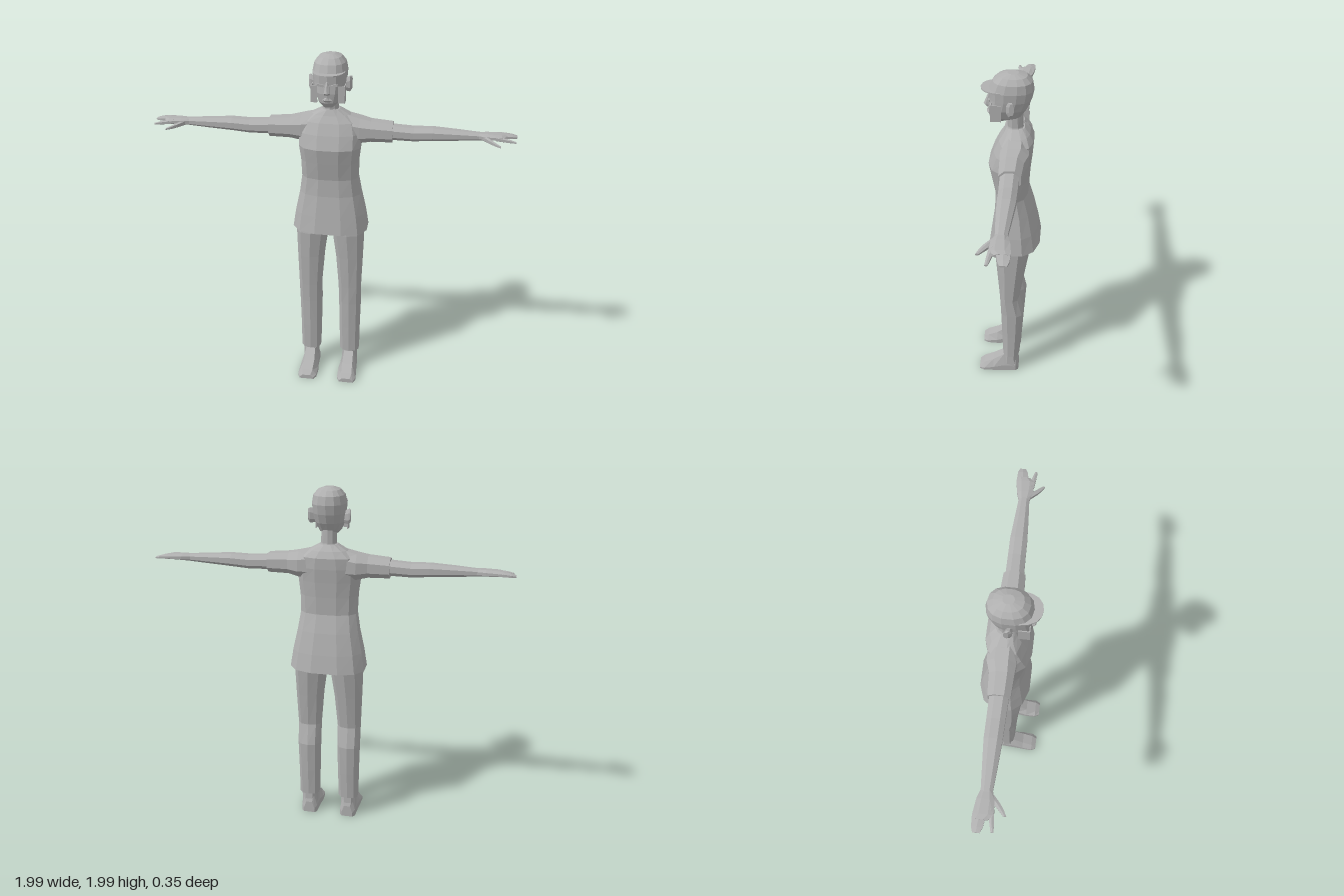
import * as THREE from 'three';

const grey = new THREE.MeshStandardMaterial({ color: 0xb0b0b0, flatShading: true, side: THREE.DoubleSide });
grey.name = 'plain grey';

// Skins a list of equal-length rings of [x, y, z] points; caps are optional
function loft(name, rings, capStart = true, capEnd = true) {
  const n = rings[0].length, pos = rings.flat(2), idx = [];
  for (let r = 0; r < rings.length - 1; r++) {
    for (let i = 0; i < n; i++) {
      const a = r * n + i, b = r * n + (i + 1) % n;
      idx.push(a, b, a + n, b, b + n, a + n);
    }
  }
  const cap = (start, flip) => {
    for (let i = 1; i < n - 1; i++) {
      idx.push(start, start + (flip ? i + 1 : i), start + (flip ? i : i + 1));
    }
  };
  if (capStart) cap(0, true);
  if (capEnd) cap((rings.length - 1) * n, false);

  // Turn the faces outward: measure signed volume about the middle
  const c = [0, 1, 2].map(k => pos.reduce((s, v, i) => s + (i % 3 === k ? v : 0), 0) * 3 / pos.length);
  const P = i => new THREE.Vector3(pos[3 * i] - c[0], pos[3 * i + 1] - c[1], pos[3 * i + 2] - c[2]);
  let vol = 0;
  for (let t = 0; t < idx.length; t += 3) vol += P(idx[t]).dot(P(idx[t + 1]).cross(P(idx[t + 2])));
  if (vol < 0) idx.reverse();

  const g = new THREE.BufferGeometry();
  g.setAttribute('position', new THREE.Float32BufferAttribute(pos, 3));
  g.setIndex(idx);
  const flat = g.toNonIndexed();
  flat.computeVertexNormals();
  const mesh = new THREE.Mesh(flat, grey);
  mesh.name = name;
  return mesh;
}

// Rounded-box outline: n points of [u, v] with unit radii
function outline(n, power) {
  return Array.from({ length: n }, (_, i) => {
    const a = (i + 0.5) / n * Math.PI * 2;
    const p = v => Math.sign(v) * Math.abs(v) ** power;
    return [p(Math.cos(a)), p(Math.sin(a))];
  });
}

// Upright rings from [y, xMin, xMax, zBack, zFront]
const upright = (rows, n = 12, power = 0.8) => rows.map(([y, x0, x1, z0, z1]) =>
  outline(n, power).map(([u, v]) => [(x0 + x1) / 2 + u * (x1 - x0) / 2, y, (z0 + z1) / 2 + v * (z1 - z0) / 2]));

// Sideways rings from [x, yMin, yMax, zBack, zFront], s is the body side
const sideways = (rows, s, n = 8, power = 0.9) => rows.map(([x, y0, y1, z0, z1]) =>
  outline(n, power).map(([u, v]) => [s * x, (y0 + y1) / 2 + v * (y1 - y0) / 2, (z0 + z1) / 2 + u * (z1 - z0) / 2]));

// Same half-width on both sides of the body
const sym = rows => rows.map(([y, w, z0, z1]) => [y, -w, w, z0, z1]);

function plate(name, w, h, d, x, y, z) {
  const m = new THREE.Mesh(new THREE.BoxGeometry(w, h, d), grey);
  m.name = name;
  m.position.set(x, y, z);
  return m;
}

function makeHead() {
  const head = new THREE.Group();
  head.name = 'head';
  head.add(loft('skull', upright(sym([
    [1.722, 0.028, 0.02, 0.088], [1.75, 0.058, -0.062, 0.108], [1.80, 0.08, -0.095, 0.112],
    [1.85, 0.088, -0.115, 0.106], [1.90, 0.092, -0.125, 0.108], [1.945, 0.083, -0.117, 0.088],
    [1.972, 0.06, -0.09, 0.058], [1.985, 0.025, -0.045, 0.012],
  ]), 14, 0.85)));
  head.add(loft('neck', upright(sym([
    [1.64, 0.06, -0.09, 0.02], [1.69, 0.042, -0.072, 0.012], [1.79, 0.04, -0.07, 0.02],
  ]), 10, 0.9)));

  // Nose and lips
  head.add(loft('nose', upright(sym([
    [1.797, 0.016, 0.095, 0.122], [1.808, 0.018, 0.095, 0.135], [1.865, 0.007, 0.09, 0.112],
  ]), 6, 1)));
  head.add(loft('lips', upright(sym([
    [1.757, 0.014, 0.09, 0.113], [1.768, 0.028, 0.085, 0.12], [1.78, 0.012, 0.09, 0.118],
  ]), 8, 1)));

  // Thin curved fringe above the brow
  const shape = new THREE.Shape();
  shape.moveTo(-0.088, -0.04);
  shape.quadraticCurveTo(-0.08, -0.145, 0, -0.148);
  shape.quadraticCurveTo(0.08, -0.145, 0.088, -0.04);
  const fringe = new THREE.Mesh(new THREE.ExtrudeGeometry(shape, { depth: 0.006, bevelEnabled: false, curveSegments: 4 }), grey);
  fringe.name = 'fringe';
  fringe.rotation.x = -Math.PI / 2;
  fringe.position.y = 1.9;
  head.add(fringe);

  for (const s of [1, -1]) {
    head.add(loft('ear', sideways([
      [0.08, 1.79, 1.86, -0.02, 0.012], [0.105, 1.785, 1.872, -0.03, 0.012], [0.115, 1.80, 1.868, -0.03, -0.005],
    ], s)));
    // Side lock beside the cheek
    head.add(plate('sideLock', 0.005, 0.09, 0.055, s * 0.087, 1.795, 0.065));
    head.add(plate('cheekLock', 0.034, 0.09, 0.005, s * 0.072, 1.795, 0.092));
    const eye = plate('eye', 0.034, 0.012, 0.008, s * 0.037, 1.845, 0.104);
    eye.rotation.z = s * 0.2;
    head.add(eye);
  }
  return head;
}

function makeArm(s) {
  const arm = new THREE.Group();
  arm.name = s > 0 ? 'leftArm' : 'rightArm';
  arm.add(loft('sleeve', sideways([
    [0.07, 1.49, 1.667, -0.115, 0.045], [0.16, 1.495, 1.645, -0.115, 0.045],
    [0.22, 1.508, 1.632, -0.095, 0.04], [0.338, 1.51, 1.622, -0.088, 0.034],
  ], s)));
  arm.add(loft('forearm', sideways([
    [0.32, 1.525, 1.61, -0.078, 0.026], [0.45, 1.522, 1.602, -0.078, 0.022],
    [0.55, 1.53, 1.605, -0.078, 0.02], [0.68, 1.538, 1.597, -0.068, 0.012], [0.81, 1.547, 1.587, -0.058, 0.002],
  ], s)));
  arm.add(loft('palm', sideways([
    [0.79, 1.547, 1.587, -0.058, 0.002], [0.84, 1.55, 1.588, -0.075, 0.018], [0.91, 1.555, 1.585, -0.085, 0.022],
    [0.935, 1.556, 1.582, -0.085, -0.005],
  ], s)));
  arm.add(loft('fingers', sideways([
    [0.92, 1.556, 1.583, -0.085, -0.012], [0.97, 1.556, 1.576, -0.084, -0.022], [0.996, 1.558, 1.568, -0.074, -0.035],
  ], s, 6)));
  arm.add(loft('indexFinger', sideways([
    [0.88, 1.555, 1.583, -0.015, 0.02], [0.95, 1.552, 1.572, 0.002, 0.026], [0.987, 1.552, 1.562, 0.012, 0.028],
  ], s, 6)));
  arm.add(loft('thumb', sideways([
    [0.815, 1.55, 1.582, -0.03, 0.012], [0.85, 1.545, 1.572, 0.005, 0.045],
    [0.88, 1.542, 1.562, 0.035, 0.066], [0.905, 1.542, 1.553, 0.06, 0.078],
  ], s, 6)));
  return arm;
}

function makeLeg(s) {
  const leg = new THREE.Group();
  leg.name = s > 0 ? 'leftLeg' : 'rightLeg';
  const rows = [
    [0.13, 0.06, 0.18, -0.07, 0.032], [0.30, 0.056, 0.181, -0.084, 0.038], [0.48, 0.052, 0.185, -0.095, 0.044],
    [0.60, 0.05, 0.186, -0.066, 0.05], [0.80, 0.034, 0.192, -0.098, 0.066], [0.96, 0.012, 0.196, -0.125, 0.08],
    [1.08, 0.0, 0.175, -0.12, 0.07],
  ].map(([y, a, b, z0, z1]) => [y, s * a, s * b, z0, z1]);
  leg.add(loft('trouserLeg', upright(rows, 10, 0.8)));
  leg.add(loft('ankle', upright([
    [0.03, s * 0.072, s * 0.17, -0.065, 0.03], [0.15, s * 0.075, s * 0.165, -0.06, 0.025],
  ], 8, 0.8)));

  // Shoe sections run from heel to toe: [z, xInner, xOuter, top]
  const shoe = [
    [-0.066, 0.085, 0.152, 0.07], [-0.05, 0.072, 0.166, 0.12], [0.025, 0.07, 0.17, 0.122],
    [0.09, 0.063, 0.175, 0.075], [0.15, 0.065, 0.178, 0.046], [0.178, 0.08, 0.165, 0.026],
  ].map(([z, a, b, h]) => {
    const d = (b - a) * 0.22;
    return [[a, 0], [b, 0], [b, h * 0.35], [b - d, h], [a + d, h], [a, h * 0.35]].map(([x, y]) => [s * x, y, z]);
  });
  leg.add(loft('shoe', shoe));
  return leg;
}

export function createModel() {
  const model = new THREE.Group();
  model.name = 'figure';

  // Flared tunic, open at the hem
  model.add(loft('tunic', upright(sym([
    [0.978, 0.218, -0.18, 0.112], [1.08, 0.202, -0.162, 0.098], [1.20, 0.176, -0.135, 0.08],
    [1.30, 0.16, -0.106, 0.076], [1.40, 0.162, -0.112, 0.096], [1.485, 0.172, -0.12, 0.112],
    [1.56, 0.172, -0.128, 0.085], [1.62, 0.155, -0.13, 0.056], [1.655, 0.105, -0.11, 0.032], [1.685, 0.05, -0.08, 0.016],
  ]), 12, 0.78), false, true));
  model.add(loft('hips', upright(sym([
    [0.965, 0.04, -0.07, 0.03], [1.02, 0.13, -0.12, 0.07], [1.12, 0.16, -0.12, 0.07],
  ]), 10)));

  model.add(makeHead());
  for (const s of [1, -1]) model.add(makeArm(s), makeLeg(s));
  return model;
}
